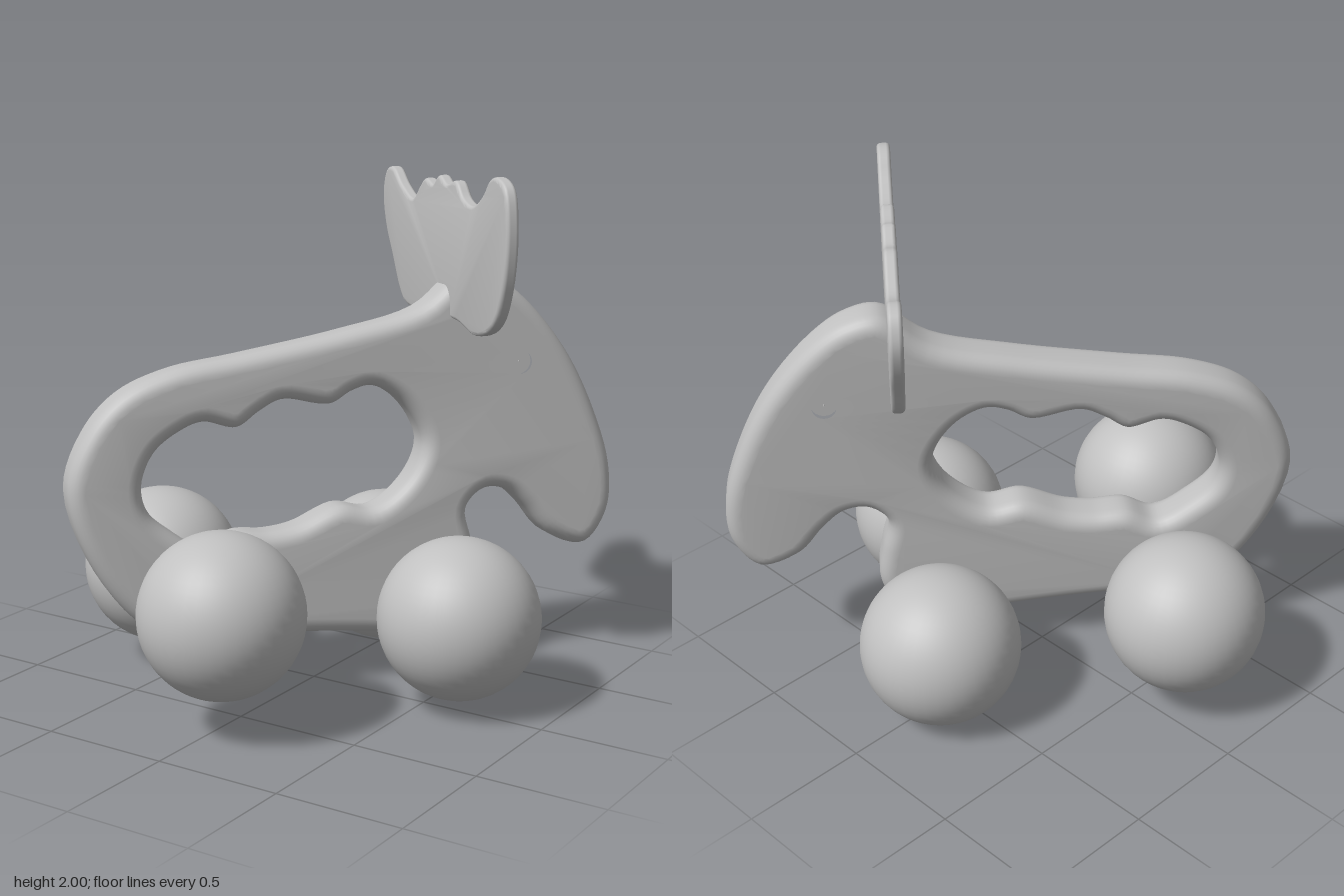
import * as THREE from 'three';
import { toCreasedNormals } from 'three/addons/utils/BufferGeometryUtils.js';

const YAW = 0.884;   // the toy stands diagonally
const ROLL = -0.055; // and leans slightly to one side

// Closed smooth curve through a few points
function smoothLoop(coords, divisions) {
  const pts = [];
  for (let i = 0; i < coords.length; i += 2) pts.push(new THREE.Vector3(coords[i], coords[i + 1], 0));
  const loop = new THREE.CatmullRomCurve3(pts, true, 'centripetal').getPoints(divisions);
  loop.pop();
  return loop.map(p => new THREE.Vector2(p.x, p.y));
}

// Plate of the given thickness with rounded rims, centred on z = 0
function roundedPlate(shape, thickness, round, segments) {
  const depth = thickness - 2 * round;
  const geo = new THREE.ExtrudeGeometry(shape, {
    depth, steps: 1, bevelEnabled: true, bevelThickness: round,
    bevelSize: round, bevelOffset: -round, bevelSegments: segments, curveSegments: 20,
  });
  geo.translate(0, 0, -depth / 2);
  return toCreasedNormals(geo, 0.6);
}

export function createModel() {
  const model = new THREE.Group();
  model.name = 'animalPushToy';
  const grey = new THREE.MeshStandardMaterial({ color: 0xc0c0c0 });
  grey.name = 'plain grey';

  const add = (parent, name, geo) => {
    const mesh = new THREE.Mesh(geo, grey);
    mesh.name = name;
    parent.add(mesh);
    return mesh;
  };

  const figure = new THREE.Group();
  figure.name = 'figure';
  figure.rotation.y = YAW;
  model.add(figure);

  // Side profile: back, head, snout, chin notch, front leg, belly, rump
  const outline = new THREE.Shape(smoothLoop([
    -0.97, 0.84, -0.89, 1.06, -0.76, 1.195, -0.57, 1.273, -0.296, 1.316, 0.115, 1.385,
    0.42, 1.46, 0.60, 1.59, 0.73, 1.565, 0.86, 1.47, 1.03, 1.26, 1.15, 1.02,
    1.22, 0.785, 1.21, 0.60, 1.11, 0.475, 0.95, 0.53, 0.85, 0.65, 0.77, 0.72,
    0.68, 0.73, 0.605, 0.66, 0.63, 0.52, 0.645, 0.36, 0.57, 0.22, 0.42, 0.16,
    0.25, 0.19, -0.10, 0.225, -0.43, 0.245, -0.65, 0.275, -0.85, 0.49,
  ], 160));

  // Hand hole with finger waves
  outline.holes.push(new THREE.Path(smoothLoop([
    -0.69, 0.85, -0.64, 0.97, -0.54, 1.045, -0.45, 1.075, -0.32, 1.045, -0.23, 1.10, -0.14, 1.14,
    0.05, 1.11, 0.14, 1.155, 0.22, 1.17, 0.34, 1.10, 0.425, 0.94, 0.37, 0.80, 0.22, 0.69,
    0.08, 0.71, -0.09, 0.645, -0.20, 0.63, -0.33, 0.635, -0.45, 0.585, -0.58, 0.66, -0.67, 0.75,
  ], 130).reverse()));

  // Eye: a flared hole closed by a plug, leaving a dimple on each side
  const eyeX = 0.82, eyeY = 1.23;
  const eyeHole = new THREE.Path();
  eyeHole.absarc(eyeX, eyeY, 0.015, 0, Math.PI * 2, true);
  outline.holes.push(eyeHole);

  const body = add(figure, 'body', roundedPlate(outline, 0.19, 0.06, 6));
  body.rotation.x = ROLL;
  body.position.z = 0.052;
  const plug = add(body, 'eyeDimple', new THREE.CylinderGeometry(0.05, 0.05, 0.14, 20));
  plug.rotation.x = Math.PI / 2;
  plug.position.set(eyeX, eyeY, 0);

  // Antlers: one thin scalloped plate across the head
  const antlerShape = new THREE.Shape(smoothLoop([
    -0.718, 1.82, -0.677, 1.915, -0.607, 1.93, -0.504, 1.87, -0.37, 1.83, -0.287, 1.89,
    -0.233, 1.925, -0.151, 1.91, -0.083, 1.952, -0.008, 1.925, 0.088, 1.947, 0.163, 1.89,
    0.26, 1.873, 0.361, 1.925, 0.428, 1.99, 0.49, 2.0, 0.565, 1.965, 0.60, 1.82,
    0.57, 1.607, 0.484, 1.46, 0.312, 1.395, 0.12, 1.42, -0.2, 1.40, -0.46, 1.405,
    -0.607, 1.58, -0.684, 1.69,
  ], 130).reverse());
  const antlers = add(figure, 'antlers', roundedPlate(antlerShape, 0.05, 0.015, 3));
  antlers.rotation.y = -Math.PI / 2;
  antlers.position.x = 0.55;

  // Ball wheels in pairs, each pair joined by an axle through the body
  const pairs = {
    rear: [[-0.63, 0.40, 0.145], [0.04, 0.455, 0.67]],
    front: [[-0.03, 0.31, -0.58], [0.625, 0.35, -0.04]],
  };
  for (const [end, pair] of Object.entries(pairs)) {
    const [a, b] = pair.map(p => new THREE.Vector3(...p));
    [a, b].forEach((p, i) => {
      add(model, `${end}Wheel${i + 1}`, new THREE.SphereGeometry(0.31, 40, 28)).position.copy(p);
    });
    const span = b.clone().sub(a);
    const axle = add(model, `${end}Axle`, new THREE.CylinderGeometry(0.1, 0.1, span.length() * 0.5, 24));
    axle.position.copy(a).add(b).multiplyScalar(0.5);
    axle.quaternion.setFromUnitVectors(new THREE.Vector3(0, 1, 0), span.normalize());
  }
  return model;
}
